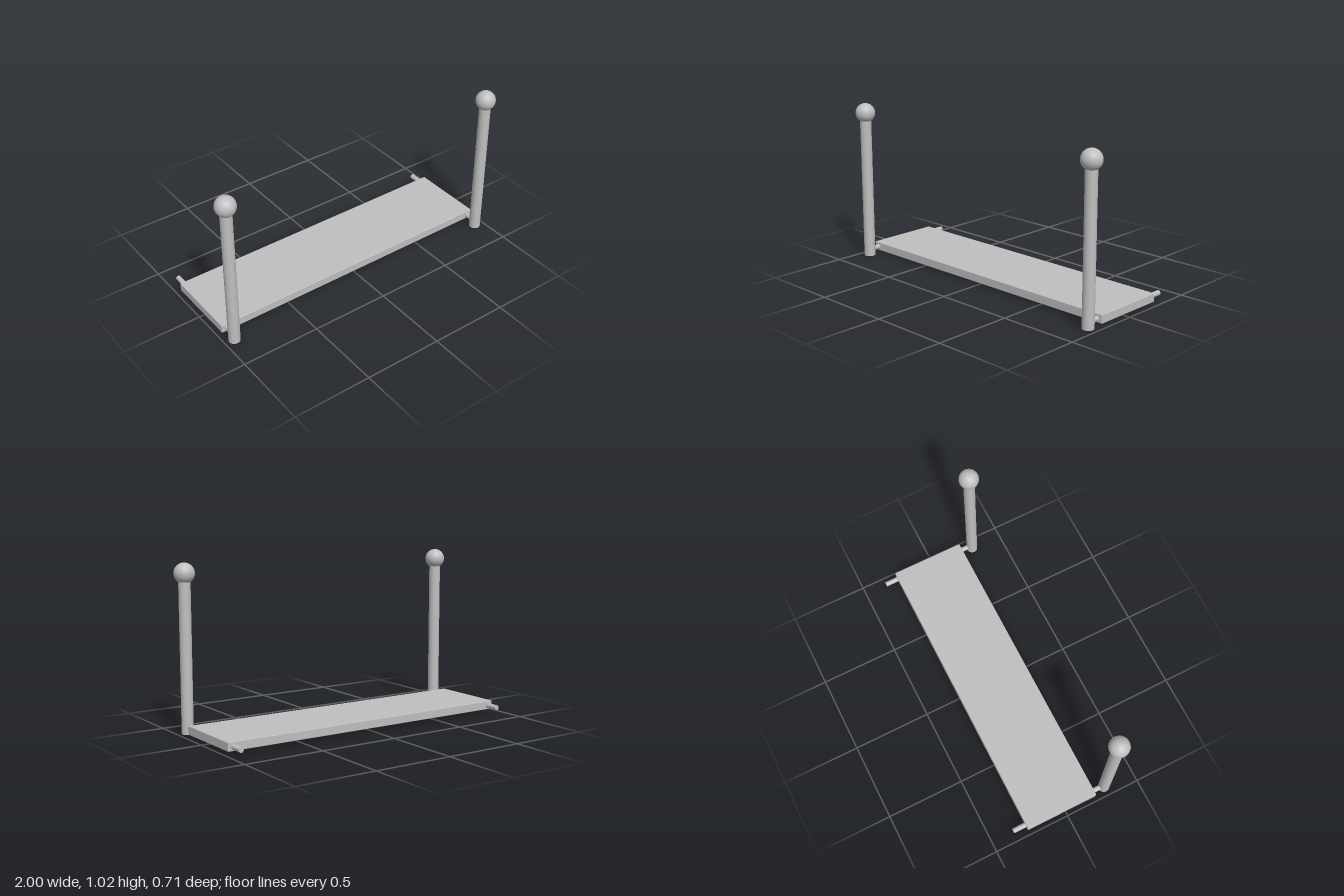
import * as THREE from 'three';
import { RoundedBoxGeometry } from 'three/addons/geometries/RoundedBoxGeometry.js';

export function createModel() {
  const model = new THREE.Group();
  model.name = 'shelfWithPosts';
  const grey = new THREE.MeshStandardMaterial({ color: 0xbfbfbf });
  grey.name = 'light grey';

  function add(name, geometry, x, y, z) {
    const mesh = new THREE.Mesh(geometry, grey);
    mesh.name = name;
    mesh.position.set(x, y, z);
    model.add(mesh);
    return mesh;
  }

  // flat board with slightly eased edges
  add('board', new RoundedBoxGeometry(1.945, 0.054, 0.482, 2, 0.004), 0, 0.04, -0.026);

  const postZ = 0.2925, rodBack = -0.353;
  const rodLength = postZ - rodBack;
  const postGeometry = new THREE.CylinderGeometry(0.036, 0.036, 0.93, 48);
  const knobGeometry = new THREE.SphereGeometry(0.0625, 48, 32);
  const rodGeometry = new THREE.CylinderGeometry(0.016, 0.016, rodLength, 32).rotateX(Math.PI / 2);

  // post, ball knob and supporting rod at each end
  for (const [side, x] of [['left', 0.9375], ['right', -0.9375]]) {
    add(side + 'Post', postGeometry, x, 0.465, postZ);
    add(side + 'Knob', knobGeometry, x, 0.955, postZ);
    add(side + 'Rod', rodGeometry, x, 0.038, (postZ + rodBack) / 2);
  }
  return model;
}
